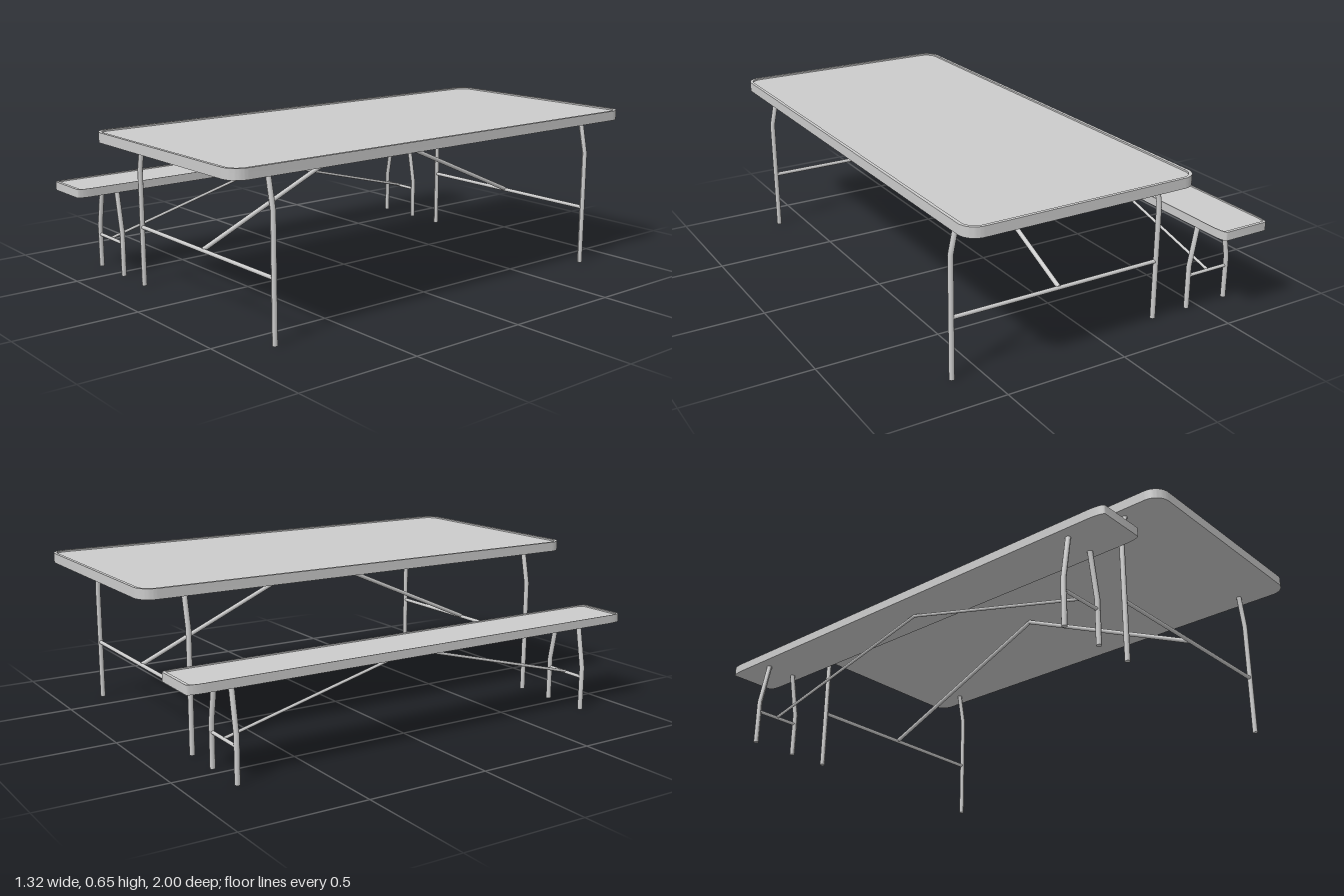
import * as THREE from 'three';
import { toCreasedNormals, mergeGeometries } from 'three/addons/utils/BufferGeometryUtils.js';

const grey = new THREE.MeshStandardMaterial({ color: 0xcccccc });

function addMesh(parent, name, geometry) {
  const mesh = new THREE.Mesh(geometry, grey);
  mesh.name = name;
  parent.add(mesh);
  return mesh;
}

// Rounded rectangle outline centred on the origin
function roundedRect(Type, w, d, r) {
  const s = new Type(), x = w / 2, y = d / 2, q = Math.PI / 2;
  s.moveTo(x, -y + r);
  s.absarc(x - r, y - r, r, 0, q);
  s.absarc(-x + r, y - r, r, q, 2 * q);
  s.absarc(-x + r, -y + r, r, 2 * q, 3 * q);
  s.absarc(x - r, -y + r, r, 3 * q, 4 * q);
  return s;
}

function extrudeUp(shape, depth) {
  const g = new THREE.ExtrudeGeometry(shape, { depth, bevelEnabled: false, curveSegments: 8 });
  return toCreasedNormals(g.rotateX(-Math.PI / 2), 0.6);
}

// Moulded top: panel set slightly below a surrounding rim
const W = 0.958, D = 2, R = 0.065, RIM = 0.013;
function makeTop(name, x, y, width, height) {
  const top = new THREE.Group();
  top.name = name;
  const inner = [W - 2 * RIM, D - 2 * RIM, R - RIM];
  const ring = roundedRect(THREE.Shape, W, D, R);
  ring.holes.push(roundedRect(THREE.Path, ...inner));
  addMesh(top, 'rim', extrudeUp(ring, 1));
  addMesh(top, 'panel', extrudeUp(roundedRect(THREE.Shape, ...inner), 0.84));
  top.scale.set(width / W, height, 1);
  top.position.set(x, y, 0);
  return top;
}

// Bent pipe: rings of a vertical cylinder shifted to follow points (top to bottom)
function legGeometry(points, r) {
  const n = points.length - 1;
  const g = new THREE.CylinderGeometry(r, r, 1, 12, n);
  const p = g.attributes.position;
  for (let i = 0; i < p.count; i++) {
    const [x, y] = points[Math.round((0.5 - p.getY(i)) * n)];
    p.setXYZ(i, p.getX(i) + x, y, p.getZ(i));
  }
  g.computeVertexNormals();
  return g;
}

// Straight round bar between two points
function barGeometry(a, b, r) {
  const dir = new THREE.Vector3().subVectors(b, a);
  const g = new THREE.CylinderGeometry(r, r, dir.length(), 12);
  const up = new THREE.Vector3(0, 1, 0);
  g.applyQuaternion(new THREE.Quaternion().setFromUnitVectors(up, dir.normalize()));
  return g.translate((a.x + b.x) / 2, (a.y + b.y) / 2, (a.z + b.z) / 2);
}

// Two pairs of bent legs, their crossbars, and the sloping braces
function makeFrame(o) {
  const frame = new THREE.Group();
  frame.name = o.name;
  frame.position.x = o.x;
  const V = (x, y, z) => new THREE.Vector3(x, y, z);
  for (const end of [1, -1]) {
    const z = end * 0.812, where = end > 0 ? 'front' : 'back';
    for (const side of [1, -1]) {
      const points = [[side * o.topX, o.topY], [side * o.footX, o.bendY], [side * o.footX, 0]];
      const leg = addMesh(frame, where + (side > 0 ? 'LeftLeg' : 'RightLeg'), legGeometry(points, 0.0105));
      leg.position.z = z;
    }
    addMesh(frame, where + 'Crossbar', barGeometry(V(-o.footX, o.barY, z), V(o.footX, o.barY, z), o.barR));
  }
  const halves = [1, -1].map((end) =>
    barGeometry(V(0, o.topY - o.braceR, 0), V(0, o.barY + 0.003, end * 0.812), o.braceR));
  addMesh(frame, 'brace', mergeGeometries(halves));
  return frame;
}

export function createModel() {
  const model = new THREE.Group();
  model.name = 'foldingTableAndBench';

  const table = new THREE.Group();
  table.name = 'table';
  table.add(makeTop('tableTop', 0.179, 0.611, W, 0.04));
  table.add(makeFrame({
    name: 'tableFrame', x: 0.168, footX: 0.448, topX: 0.42, topY: 0.612,
    bendY: 0.48, barY: 0.243, barR: 0.008, braceR: 0.009,
  }));

  const bench = new THREE.Group();
  bench.name = 'bench';
  bench.add(makeTop('benchSeat', -0.552, 0.357, 0.218, 0.035));
  bench.add(makeFrame({
    name: 'benchFrame', x: -0.545, footX: 0.096, topX: 0.063, topY: 0.358,
    bendY: 0.18, barY: 0.139, barR: 0.007, braceR: 0.006,
  }));

  model.add(table, bench);
  return model;
}
